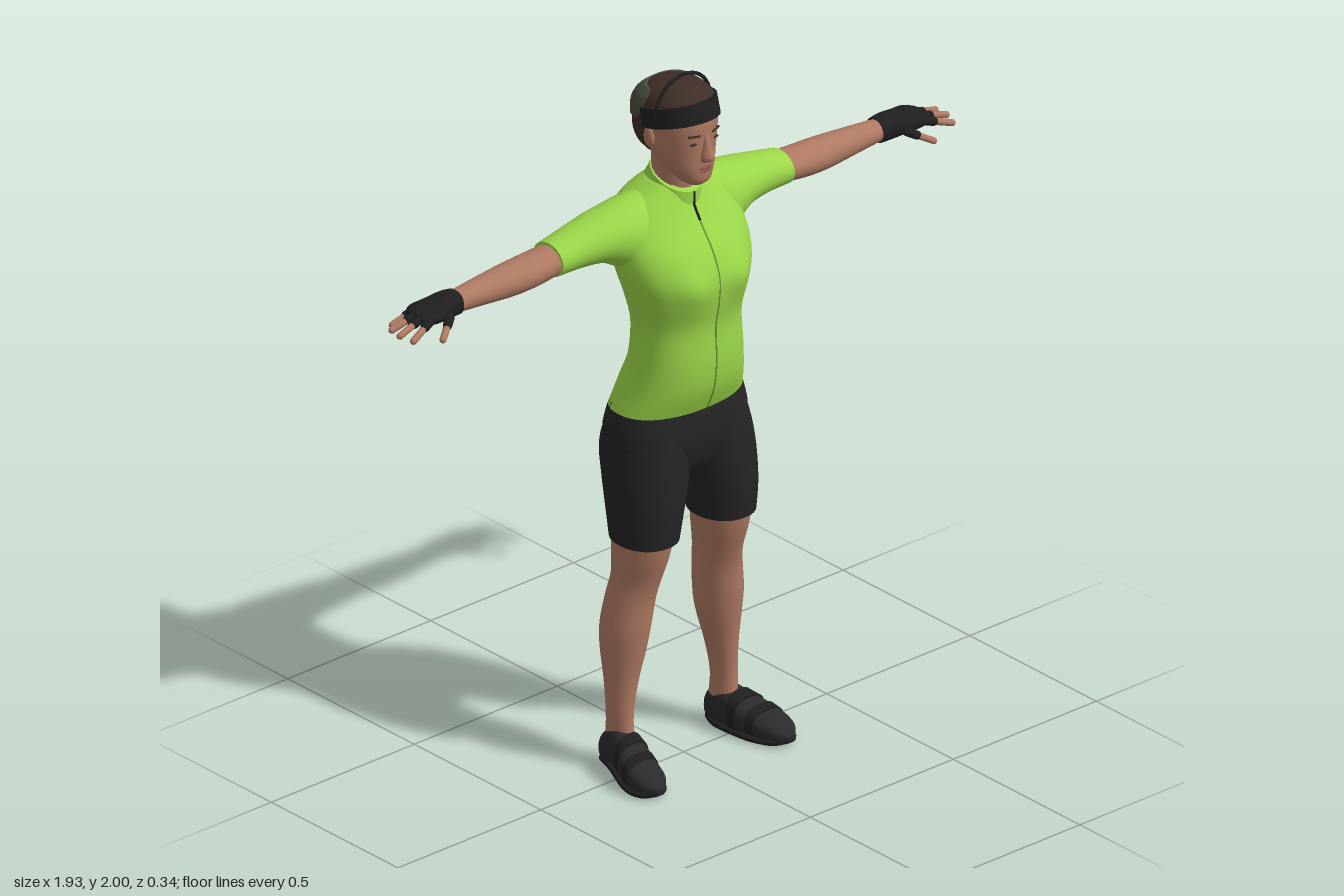
import * as THREE from 'three';

const mat = (name, color, side = THREE.FrontSide) => {
  const m = new THREE.MeshStandardMaterial({ color, side });
  m.name = name;
  return m;
};

const spline = (rows, c) => new THREE.SplineCurve(rows.map(r => new THREE.Vector2(r[0], r[c])));

// Smooth skin through rounded sections. Rows: [t, aMin, aMax, bMin, bMax], t ascending.
// Axis y: a = z, b = x. Axis x: a = y, b = z. Axis z: a = x, b = y.
function loft(axis, rows, n = 2, segs = 32, steps = 4) {
  const order = { x: [0, 1, 2], y: [1, 2, 0], z: [2, 0, 1] }[axis];
  const curves = [1, 2, 3, 4].map(c => spline(rows, c));
  const count = (rows.length - 1) * steps;
  const pos = [], idx = [];
  const put = (t, a, b) => {
    const p = [0, 0, 0];
    p[order[0]] = t; p[order[1]] = a; p[order[2]] = b;
    pos.push(...p);
    return pos.length / 3 - 1;
  };
  const pw = v => Math.sign(v) * Math.abs(v) ** (2 / n);
  const ring = i => {
    const s = curves.map(c => c.getPoint(i / count));
    const t = s[0].x, [a0, a1, b0, b1] = s.map(p => p.y);
    for (let j = 0; j < segs; j++) {
      const th = j / segs * Math.PI * 2;
      put(t, (a0 + a1) / 2 + (a1 - a0) / 2 * pw(Math.cos(th)), (b0 + b1) / 2 + (b1 - b0) / 2 * pw(Math.sin(th)));
    }
    return [t, (a0 + a1) / 2, (b0 + b1) / 2];
  };
  for (let i = 0; i <= count; i++) ring(i);
  for (let i = 0; i < count; i++) for (let j = 0; j < segs; j++) {
    const k = (j + 1) % segs, a = i * segs + j, b = i * segs + k;
    idx.push(a, b, a + segs, b, b + segs, a + segs);
  }
  // end caps with their own rings, so the rims stay crisp
  for (const i of [0, count]) {
    const start = pos.length / 3, centre = put(...ring(i));
    for (let j = 0; j < segs; j++) {
      const a = start + j, b = start + (j + 1) % segs;
      idx.push(centre, ...(i ? [a, b] : [b, a]));
    }
  }
  const g = new THREE.BufferGeometry();
  g.setAttribute('position', new THREE.Float32BufferAttribute(pos, 3));
  g.setIndex(idx);
  g.computeVertexNormals();
  return g;
}

// Upright loft symmetric in x. Rows: [y, zBack, zFront, halfWidth]
const body = (rows, n, segs) => loft('y', rows.map(([y, b, f, w]) => [y, b, f, -w, w]), n, segs);

// Move every vertex by a rule
function bend(g, rule) {
  const p = g.attributes.position, v = new THREE.Vector3();
  for (let i = 0; i < p.count; i++) {
    rule(v.fromBufferAttribute(p, i));
    p.setXYZ(i, v.x, v.y, v.z);
  }
  g.computeVertexNormals();
  return g;
}

function mirror(g) {
  const m = g.clone().scale(-1, 1, 1), ix = m.index.array;
  for (let i = 0; i < ix.length; i += 3) [ix[i], ix[i + 1]] = [ix[i + 1], ix[i]];
  m.computeVertexNormals();
  return m;
}

const blob = (x, y, z, rx, ry, rz) => new THREE.SphereGeometry(1, 16, 12).scale(rx, ry, rz).translate(x, y, z);

// Rounded rod between two points
function rod(from, to, r) {
  const a = new THREE.Vector3(...from), b = new THREE.Vector3(...to), d = b.clone().sub(a);
  const q = new THREE.Quaternion().setFromUnitVectors(new THREE.Vector3(0, 1, 0), d.clone().normalize());
  return new THREE.CapsuleGeometry(r, d.length(), 5, 10).applyQuaternion(q).translate(...a.add(b).multiplyScalar(0.5).toArray());
}

export function createModel() {
  const model = new THREE.Group();
  const skin = mat('skin', 0xae7962), green = mat('jersey green', 0x9bd648), seam = mat('seam green', 0x6f9f35);
  const black = mat('shorts black', 0x242424), shoe = mat('shoe black', 0x2b2b2c), gear = mat('gear black', 0x1f1f20);
  const hair = mat('hair brown', 0x3f2e27), olive = mat('olive', 0x4a4d3b), lip = mat('lip', 0x8f5649);
  const add = (name, g, m) => {
    const mesh = new THREE.Mesh(g, m);
    mesh.name = name;
    model.add(mesh);
  };
  const pair = (name, g, m) => {
    add(name + 'Left', g, m);
    add(name + 'Right', mirror(g), m);
  };

  // jersey
  const torso = [[1.05, -.158, .092, .2], [1.12, -.142, .12, .178], [1.2, -.115, .13, .162], [1.3, -.11, .127, .157],
    [1.38, -.125, .14, .174], [1.45, -.145, .142, .193], [1.52, -.162, .115, .2], [1.58, -.168, .072, .19],
    [1.63, -.162, .04, .155], [1.665, -.14, .025, .1], [1.685, -.115, .015, .07]];
  add('jersey', bend(body(torso, 2.25, 48), v => {
    if (v.z > 0) v.z += .016 * Math.exp(-(((Math.abs(v.x) - .08) / .045) ** 2) - ((v.y - 1.43) / .06) ** 2);
  }), green);
  pair('sleeve', loft('x', [[.08, 1.46, 1.664, -.15, .02], [.15, 1.455, 1.66, -.155, .03], [.2, 1.48, 1.652, -.152, .022],
    [.25, 1.505, 1.642, -.147, .008], [.32, 1.512, 1.626, -.141, -.008], [.405, 1.512, 1.607, -.136, -.018]]), green);
  add('collar', bend(body([[1.65, -.125, .04, .08], [1.675, -.115, .04, .069], [1.7, -.106, .04, .063]]),
    v => { v.y -= (v.z + .04) * .4; }), green);

  // front zip following the chest profile
  const front = spline(torso, 2);
  const zip = (u0, u1, r) => new THREE.TubeGeometry(new THREE.CatmullRomCurve3(
    Array.from({ length: 25 }, (_, i) => {
      const p = front.getPoint(u0 + (u1 - u0) * i / 24);
      return new THREE.Vector3(0, p.x, p.y);
    })), 40, r, 6);
  add('zip', zip(.005, .72, .0025), seam);
  add('zipTop', zip(.72, .87, .004), gear);
  add('zipCollar', rod([0, 1.63, .042], [0, 1.665, .042], .003), gear);

  // shorts
  add('shortsHips', body([[.85, -.11, .06, .1], [.9, -.153, .088, .198], [.97, -.17, .1, .215], [1.03, -.162, .094, .205],
    [1.065, -.15, .086, .194]], 2.3, 40), black);
  pair('shortsLeg', loft('y', [[.68, -.102, .092, .048, .22], [.76, -.116, .1, .034, .225], [.85, -.14, .102, .013, .224],
    [.93, -.16, .098, .004, .216], [1, -.145, .085, .02, .198]], 2.15), black);

  // bare legs
  pair('leg', loft('y', [[.09, -.095, 0, .15, .21], [.16, -.09, -.005, .15, .214], [.25, -.1, 0, .134, .217],
    [.35, -.118, .015, .108, .225], [.42, -.12, .025, .097, .226], [.5, -.11, .032, .087, .215], [.56, -.101, .047, .08, .204],
    [.63, -.1, .07, .068, .209], [.7, -.098, .084, .058, .214]]), skin);

  // shoes with soles and straps
  pair('shoe', loft('z', [[-.108, .172, .2, .025, .06], [-.096, .156, .211, .008, .09], [-.05, .148, .22, .004, .128],
    [0, .147, .24, .004, .115], [.05, .156, .264, .004, .093], [.1, .17, .274, .006, .074], [.14, .186, .266, .01, .058],
    [.168, .216, .24, .02, .036]], 2.5), shoe);
  pair('sole', loft('z', [[-.106, .168, .202, 0, .022], [-.05, .148, .22, 0, .018], [.05, .154, .266, 0, .018],
    [.1, .168, .276, 0, .018], [.14, .184, .268, .004, .022], [.165, .212, .244, .012, .026]], 4), gear);
  pair('ankleStrap', loft('z', [[.0, .145, .243, .004, .12], [.03, .149, .257, .004, .108]], 2.5, 32, 2), gear);
  pair('toeStrap', loft('z', [[.06, .157, .27, .004, .093], [.085, .164, .274, .004, .084]], 2.5, 32, 2), gear);

  // arms and fingerless gloves
  pair('arm', loft('x', [[.37, 1.52, 1.6, -.13, -.026], [.47, 1.508, 1.597, -.13, -.022], [.55, 1.505, 1.595, -.125, -.026],
    [.65, 1.513, 1.588, -.115, -.034], [.76, 1.522, 1.58, -.102, -.043]]), skin);
  pair('glove', loft('x', [[.735, 1.518, 1.584, -.108, -.038], [.77, 1.518, 1.587, -.113, -.034], [.82, 1.53, 1.58, -.118, -.016],
    [.86, 1.537, 1.576, -.118, -.012], [.885, 1.547, 1.568, -.1, -.028]], 2.5), gear);
  const fingers = [
    ['index', [.86, 1.556, -.026], [.942, 1.53, -.004]],
    ['middle', [.87, 1.558, -.05], [.955, 1.535, -.042]],
    ['ring', [.87, 1.558, -.074], [.95, 1.536, -.08]],
    ['little', [.855, 1.556, -.1], [.925, 1.532, -.107]],
    ['thumb', [.8, 1.545, -.02], [.858, 1.514, .018]]];
  for (const [name, a, b] of fingers) {
    pair(name + 'Finger', rod(a, b, .0095), skin);
    pair(name + 'GloveStub', rod(a, a.map((v, i) => v + (b[i] - v) * .36), .0125), gear);
  }

  // neck and head
  add('neck', body([[1.6, -.11, .01, .055], [1.69, -.104, .026, .056], [1.78, -.1, .03, .06]]), skin);
  add('head', body([[1.7, .01, .07, .025], [1.715, -.02, .085, .044], [1.75, -.07, .088, .066], [1.79, -.11, .088, .079],
    [1.84, -.13, .09, .088], [1.89, -.138, .091, .091], [1.93, -.125, .075, .083], [1.96, -.09, .045, .058],
    [1.974, -.03, -.01, .01]], 2.2), skin);
  add('nose', body([[1.772, .07, .092, .014], [1.788, .07, .116, .019], [1.82, .07, .105, .011], [1.855, .07, .092, .008]], 2, 16), skin);
  add('upperLip', blob(0, 1.757, .086, .023, .005, .008), lip);
  add('lowerLip', blob(0, 1.748, .085, .02, .005, .008), lip);
  pair('ear', blob(.09, 1.83, -.035, .01, .03, .019), skin);
  pair('eye', blob(.036, 1.832, .081, .014, .004, .005), hair);
  pair('eyebrow', new THREE.BoxGeometry(.034, .005, .006).rotateY(.35).translate(.037, 1.856, .083), hair);

  // hair with an olive crown patch
  add('hair', body([[1.765, -.1, -.05, .055], [1.8, -.128, -.042, .08], [1.85, -.142, -.02, .093], [1.9, -.146, .07, .096],
    [1.935, -.13, .08, .087], [1.963, -.092, .045, .06], [1.977, -.03, -.01, .01]], 2.2), hair);
  add('crownPatch', body([[1.87, -.147, -.03, .094], [1.905, -.15, 0, .097], [1.935, -.136, 0, .088], [1.955, -.112, -.01, .07]], 2.2), olive);

  // tilted headband and thin hoop over the head
  const ringShape = new THREE.Shape().absellipse(0, 0, .101, .119, 0, Math.PI * 2);
  ringShape.holes.push(new THREE.Path().absellipse(0, 0, .088, .106, 0, Math.PI * 2));
  add('headband', new THREE.ExtrudeGeometry(ringShape, { depth: .055, bevelEnabled: false, curveSegments: 32 })
    .translate(0, 0, -.0275).rotateX(-Math.PI / 2 - .27).translate(0, 1.89, -.023), gear);
  add('hoop', new THREE.TorusGeometry(.095, .005, 8, 40, Math.PI).translate(0, 1.9, -.003), gear);
  return model;
}
